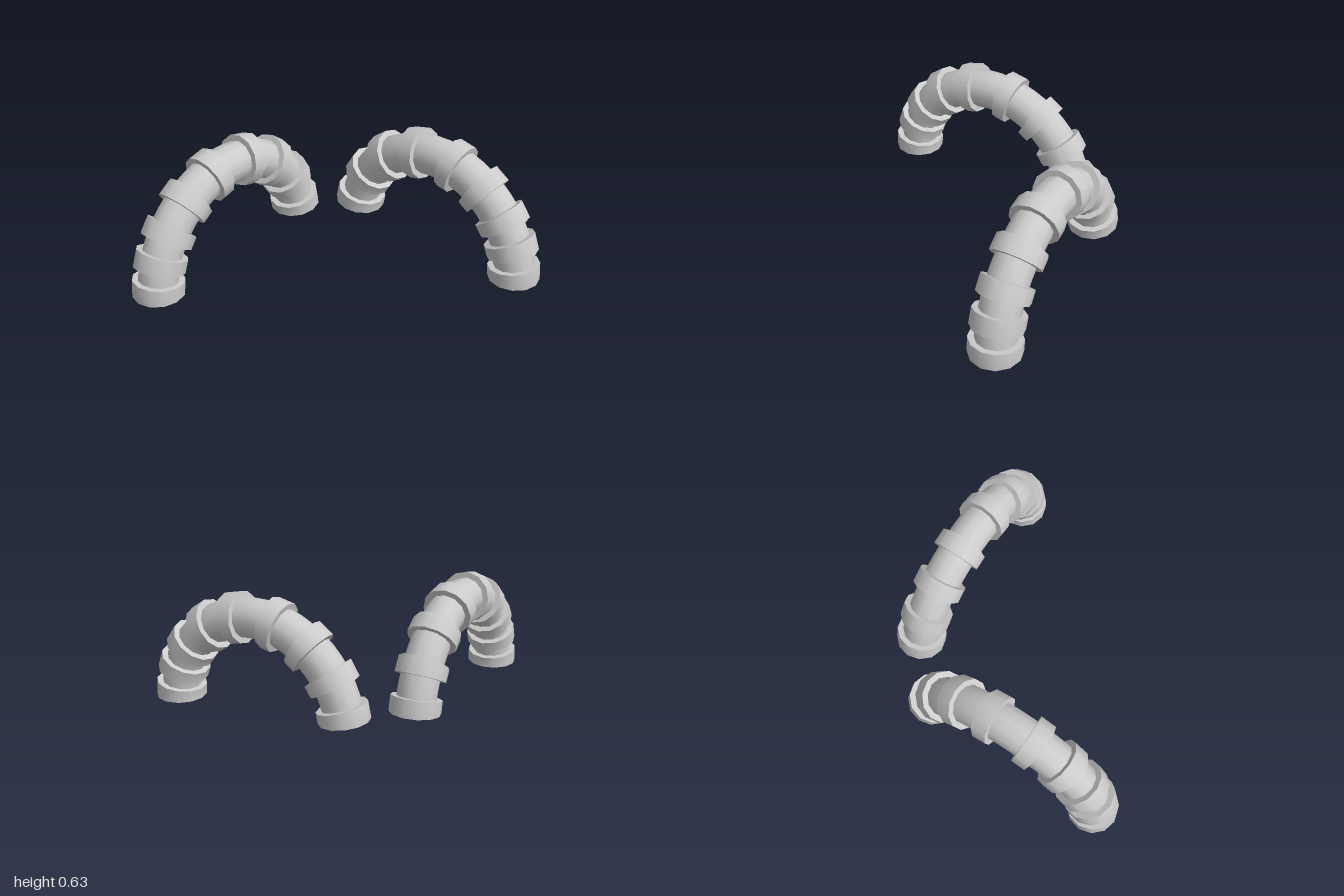
import * as THREE from 'three';
import { mergeGeometries } from 'three/addons/utils/BufferGeometryUtils.js';

const BEND = 0.495;      // radius of the arch centreline
const PIPE = 0.1;        // pipe radius
const COLLAR = 0.13;     // collar outer radius
const BORE = 0.111;      // socket radius at the open ends
const SIDES = 12;
const rad = THREE.MathUtils.degToRad;

const material = new THREE.MeshStandardMaterial({ color: 0xcccccc, side: THREE.DoubleSide });

// Bent tube wall running along the arch between two angles
function bentWall(radius, from, to, segments) {
  return new THREE.TorusGeometry(BEND, radius, SIDES, segments, rad(to - from)).rotateZ(rad(from));
}

// Flat annulus across the arch; dir is +1 to face along the bend, -1 to face back
function annulus(inner, outer, angle, dir) {
  return new THREE.RingGeometry(inner, outer, SIDES, 1)
    .rotateX(-dir * Math.PI / 2)
    .translate(BEND, 0, 0)
    .rotateZ(rad(angle));
}

// Wedge-shaped collar; an open end gets a wider socket
function collar(center, openStart, openEnd) {
  const from = center - 4.25, to = center + 4.25;
  const parts = [
    bentWall(COLLAR, from, to, 1),
    annulus(openStart ? BORE : PIPE, COLLAR, from, -1),
    annulus(openEnd ? BORE : PIPE, COLLAR, to, 1),
  ];
  if (openStart) parts.push(bentWall(BORE, from, center, 1), annulus(PIPE, BORE, center, -1));
  if (openEnd) parts.push(bentWall(BORE, center, to, 1), annulus(PIPE, BORE, center, 1));
  return mergeGeometries(parts);
}

function createArch(name) {
  const arch = new THREE.Group();
  arch.name = name;
  const angles = [4.5, 20, 36, 55.5, 77, 103, 126, 148, 168];

  // Pipe, hollow and open at both ends
  const pipe = new THREE.Mesh(bentWall(PIPE, angles[0], angles[8], 24), material);
  pipe.name = 'pipe';
  arch.add(pipe);

  // Collars spaced along the bend
  angles.forEach((angle, i) => {
    const mesh = new THREE.Mesh(collar(angle, i === 0, i === 8), material);
    mesh.name = i === 0 || i === 8 ? 'endCollar' : 'collar';
    arch.add(mesh);
  });
  arch.scale.y = 1.015;
  return arch;
}

export function createModel() {
  const model = new THREE.Group();
  model.name = 'pipeArches';
  for (const side of [1, -1]) {
    const arch = createArch(side > 0 ? 'leftArch' : 'rightArch');
    arch.position.x = side * 0.525;
    arch.rotation.y = side > 0 ? -Math.PI / 4 : -3 * Math.PI / 4;
    model.add(arch);
  }
  return model;
}
